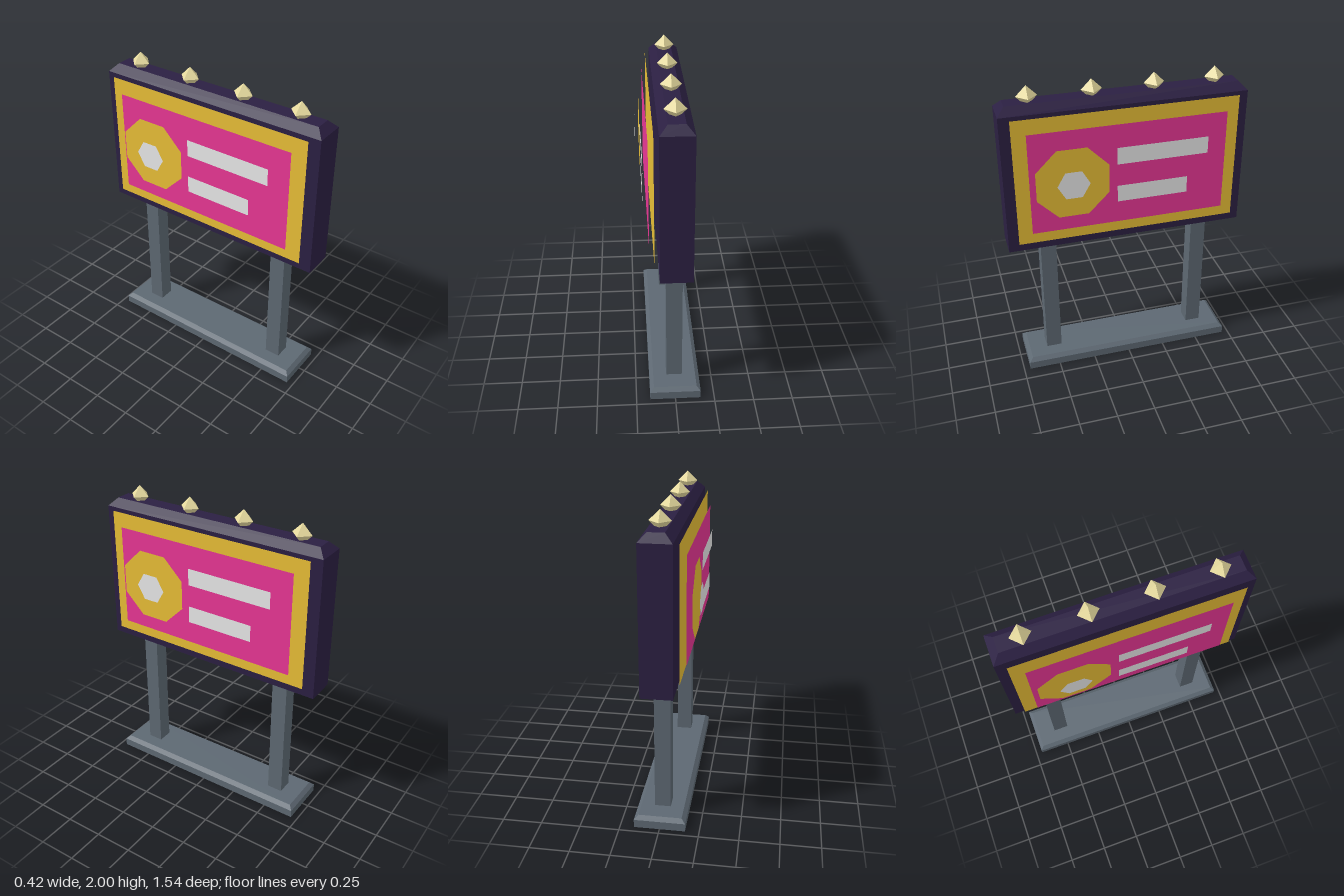
import * as THREE from 'three';

const mat = (name, color, extra = {}) => {
  const m = new THREE.MeshStandardMaterial({ color, flatShading: true, ...extra });
  m.name = name;
  return m;
};

// Box whose top edge is chamfered; the underside may be left open
function chamferedBox(hx, hz, y0, y1, y2, inset, closed) {
  const rings = [[hx, hz, y0], [hx, hz, y1], [hx - inset, hz - inset, y2]];
  const pos = [], index = [];
  for (const [x, z, y] of rings) pos.push(-x, y, z, x, y, z, x, y, -z, -x, y, -z);
  for (let r = 0; r < 2; r++) {
    for (let i = 0; i < 4; i++) {
      const a = r * 4 + i, b = r * 4 + (i + 1) % 4;
      index.push(a, b, b + 4, a, b + 4, a + 4);
    }
  }
  index.push(8, 9, 10, 8, 10, 11);
  if (closed) index.push(0, 2, 1, 0, 3, 2);
  const g = new THREE.BufferGeometry();
  g.setAttribute('position', new THREE.Float32BufferAttribute(pos, 3));
  g.setIndex(index);
  const flat = g.toNonIndexed();
  flat.computeVertexNormals();
  return flat;
}

export function createModel() {
  const steel = mat('steel grey', 0x5d6872);
  const steelShell = mat('steel grey', 0x5d6872, { side: THREE.DoubleSide });
  const purple = mat('dark purple', 0x2b1f42);
  const gold = mat('gold', 0xf2c639);
  const pink = mat('pink', 0xf2399b);
  const white = mat('white', 0xf2f2f2);
  const cream = mat('pale yellow', 0xfff2b0);

  const model = new THREE.Group();
  model.name = 'signboard';
  const add = (parent, name, geo, material, x = 0, y = 0, z = 0) => {
    const mesh = new THREE.Mesh(geo, material);
    mesh.name = name;
    mesh.position.set(x, y, z);
    parent.add(mesh);
  };

  // Hollow foot, two posts and the cabinet
  add(model, 'base', chamferedBox(0.162, 0.708, 0, 0.053, 0.077, 0.025, false), steelShell);
  for (const s of [1, -1]) {
    add(model, 'post', new THREE.BoxGeometry(0.102, 0.92, 0.102), steel, 0, 0.5, s * 0.514);
  }
  add(model, 'cabinet', chamferedBox(0.0975, 0.772, 0.94, 1.856, 1.905, 0.048, true), purple);

  // Studs along the top
  for (const z of [0.582, 0.194, -0.194, -0.582]) {
    add(model, 'stud', new THREE.OctahedronGeometry(0.065), cream, 0, 1.935, z);
  }

  // Display face: flat sheets floating in layers off the cabinet, on both sides
  const LAYERS = [0.125, 0.153, 0.182, 0.21];
  const sheet = (parent, name, z0, z1, y0, y1, material, layer) => {
    const g = new THREE.PlaneGeometry(z1 - z0, y1 - y0).rotateY(Math.PI / 2);
    add(parent, name, g, material, LAYERS[layer], (y0 + y1) / 2, (z0 + z1) / 2);
  };
  const disc = (parent, name, radius, sides, turn, material, layer) => {
    const g = new THREE.CircleGeometry(radius, sides, turn).rotateY(Math.PI / 2);
    add(parent, name, g, material, LAYERS[layer], 1.421, 0.363);
  };
  for (const turn of [0, Math.PI]) {
    const face = new THREE.Group();
    face.name = 'displayFace';
    face.rotation.y = turn;
    sheet(face, 'border', -0.708, 0.708, 1.003, 1.842, gold, 0);
    sheet(face, 'panel', -0.623, 0.623, 1.087, 1.757, pink, 1);
    sheet(face, 'upperBar', -0.495, 0.085, 1.507, 1.618, white, 2);
    sheet(face, 'lowerBar', -0.367, 0.085, 1.249, 1.36, white, 2);
    disc(face, 'octagon', 0.245, 8, Math.PI / 8, gold, 2);
    disc(face, 'hexagon', 0.102, 6, 0, white, 3);
    model.add(face);
  }
  return model;
}
